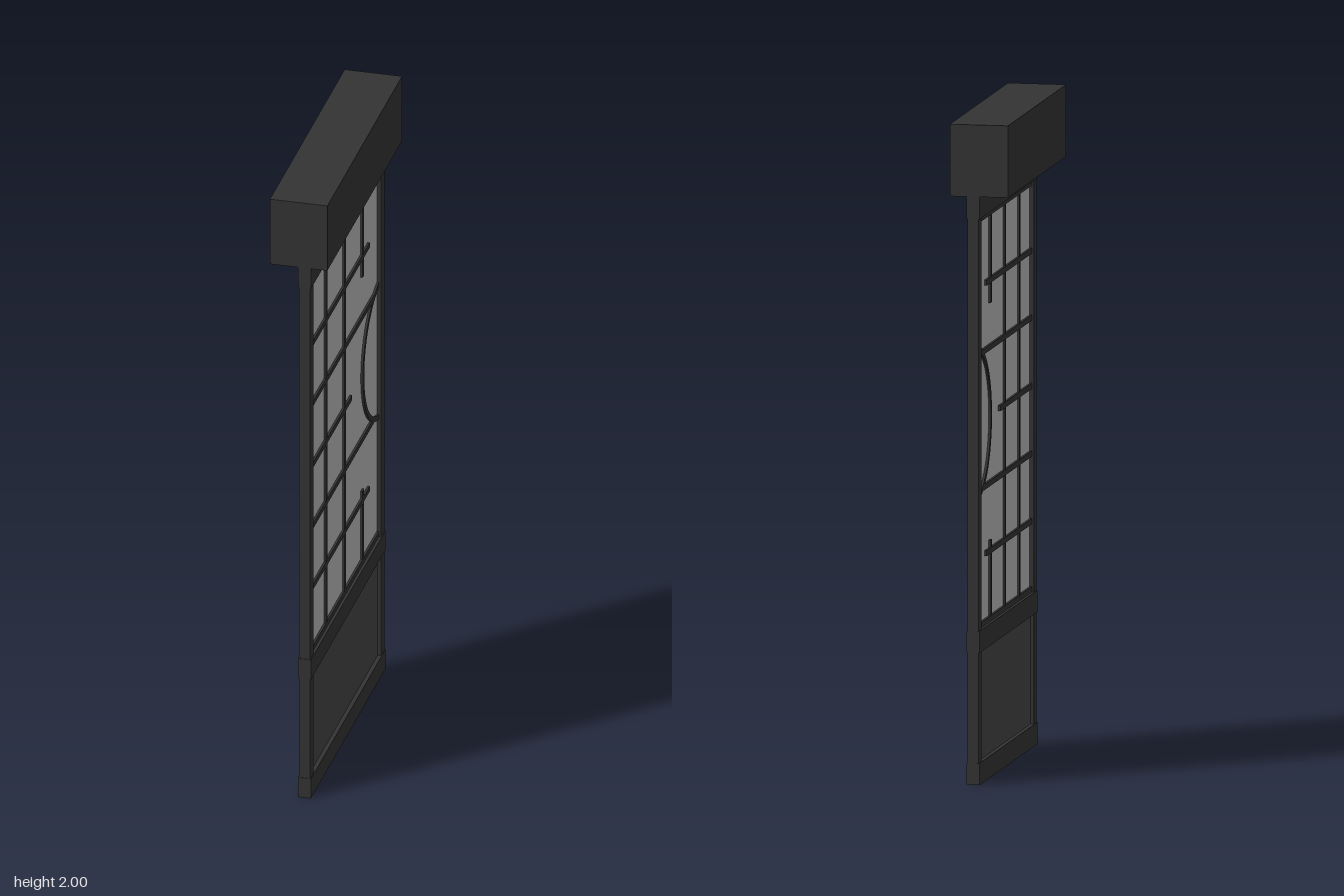
import * as THREE from 'three';

export function createModel() {
  const model = new THREE.Group();
  const dark = new THREE.MeshStandardMaterial({ color: 0x333333 });
  const panelMat = new THREE.MeshStandardMaterial({ color: 0x444444 });
  const glassMat = new THREE.MeshStandardMaterial({ color: 0xb8b8b8 });
  const X = 0.018; // mid-plane of the door leaf

  // box spanning y0..y1 and z0..z1, centred on x
  function slab(name, depth, y0, y1, z0, z1, mat = dark, x = X) {
    const mesh = new THREE.Mesh(new THREE.BoxGeometry(depth, y1 - y0, z1 - z0), mat);
    mesh.position.set(x, (y0 + y1) / 2, (z0 + z1) / 2);
    mesh.name = name;
    model.add(mesh);
  }

  // header beam
  slab('headerBeam', 0.178, 1.782, 2, -0.444, 0.444, dark, 0);

  // door frame: stiles and slightly thicker rails
  slab('leftStile', 0.034, 0, 1.782, 0.4, 0.442);
  slab('rightStile', 0.034, 0, 1.782, -0.442, -0.4);
  slab('bottomRail', 0.04, 0, 0.066, -0.444, 0.444);
  slab('middleRail', 0.04, 0.4, 0.466, -0.444, 0.444);
  slab('topRail', 0.04, 1.714, 1.782, -0.444, 0.444);

  // infill
  slab('lowerPanel', 0.014, 0.066, 0.4, -0.4, 0.4, panelMat);
  slab('glassPane', 0.008, 0.466, 1.714, -0.4, 0.4, glassMat);

  // lattice bars
  const h = 0.0085, barDepth = 0.022;
  const rows = [[1.706, -0.4], [1.5, -0.29], [1.297, -0.345], [1.09, -0.08],
    [0.885, -0.345], [0.68, -0.29], [0.474, -0.4]];
  for (const [y, end] of rows) slab('horizontalBar', barDepth, y - h, y + h, end, 0.4);
  const columns = [[0.22, 0.466, 1.714], [0, 0.466, 1.714], [-0.217, 1.43, 1.714], [-0.217, 0.466, 0.712]];
  for (const [z, y0, y1] of columns) slab('verticalBar', barDepth - 0.001, y0, y1, z - h, z + h);

  // half-round bar against the right stile
  const outer = 0.234, inner = 0.218, start = Math.asin(0.04 / outer);
  const shape = new THREE.Shape();
  shape.absarc(0, 0, outer, Math.PI / 2 + start, 1.5 * Math.PI - start, false);
  shape.absarc(0, 0, inner, 1.5 * Math.PI - start, Math.PI / 2 + start, true);
  const arcGeo = new THREE.ExtrudeGeometry(shape, { depth: barDepth, bevelEnabled: false, curveSegments: 32 });
  arcGeo.translate(0, 0, -barDepth / 2);
  const arc = new THREE.Mesh(arcGeo, dark);
  arc.rotation.y = Math.PI / 2;
  arc.position.set(X, 1.09, -0.443);
  arc.name = 'arcBar';
  model.add(arc);

  return model;
}
